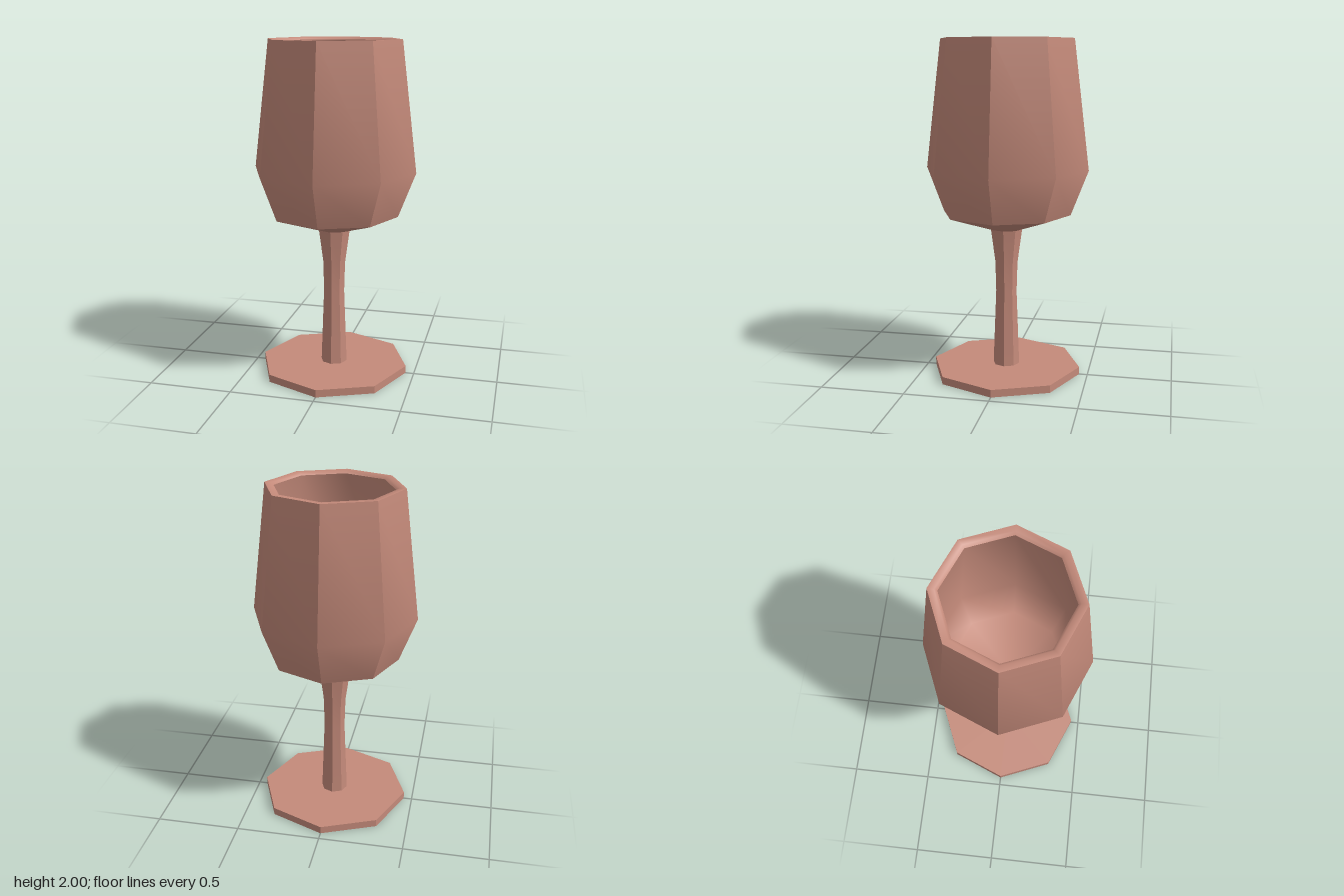
import * as THREE from 'three';
import { toCreasedNormals } from 'three/addons/utils/BufferGeometryUtils.js';

const SIDES = 8;
const material = new THREE.MeshStandardMaterial({ color: 0xc48a7a });

// Eight-sided turned part from [radius, height] pairs; creases sharper than the given angle stay hard.
function turned(name, profile, crease) {
  const points = profile.map(([r, y]) => new THREE.Vector2(r, y));
  let geometry = new THREE.LatheGeometry(points, SIDES);
  geometry = toCreasedNormals(geometry, THREE.MathUtils.degToRad(crease));
  const mesh = new THREE.Mesh(geometry, material);
  mesh.name = name;
  return mesh;
}

export function createModel() {
  const goblet = new THREE.Group();
  goblet.name = 'goblet';

  // Flat octagonal foot
  goblet.add(turned('foot', [[0, 0], [0.45, 0], [0.45, 0.045], [0, 0.045]], 30));

  // Faceted stem, flaring at both ends
  goblet.add(turned('stem', [[0.08, 0.045], [0.063, 0.5], [0.068, 0.68], [0.096, 0.885]], 30));

  // Outside of the bowl, from the stem up to the rim
  goblet.add(turned('bowlOutside', [[0, 0.885], [0.096, 0.885], [0.385, 0.98], [0.487, 1.245], [0.395, 2]], 36));

  // Flat rim with a slightly eased inner edge
  goblet.add(turned('rim', [[0.395, 2], [0.358, 2], [0.343, 1.985]], 50));

  // Hollow inside, softly shaded down to the floor
  goblet.add(turned('bowlInside', [[0.343, 1.985], [0.43, 1.25], [0.34, 1.04], [0, 0.96]], 80));

  return goblet;
}
